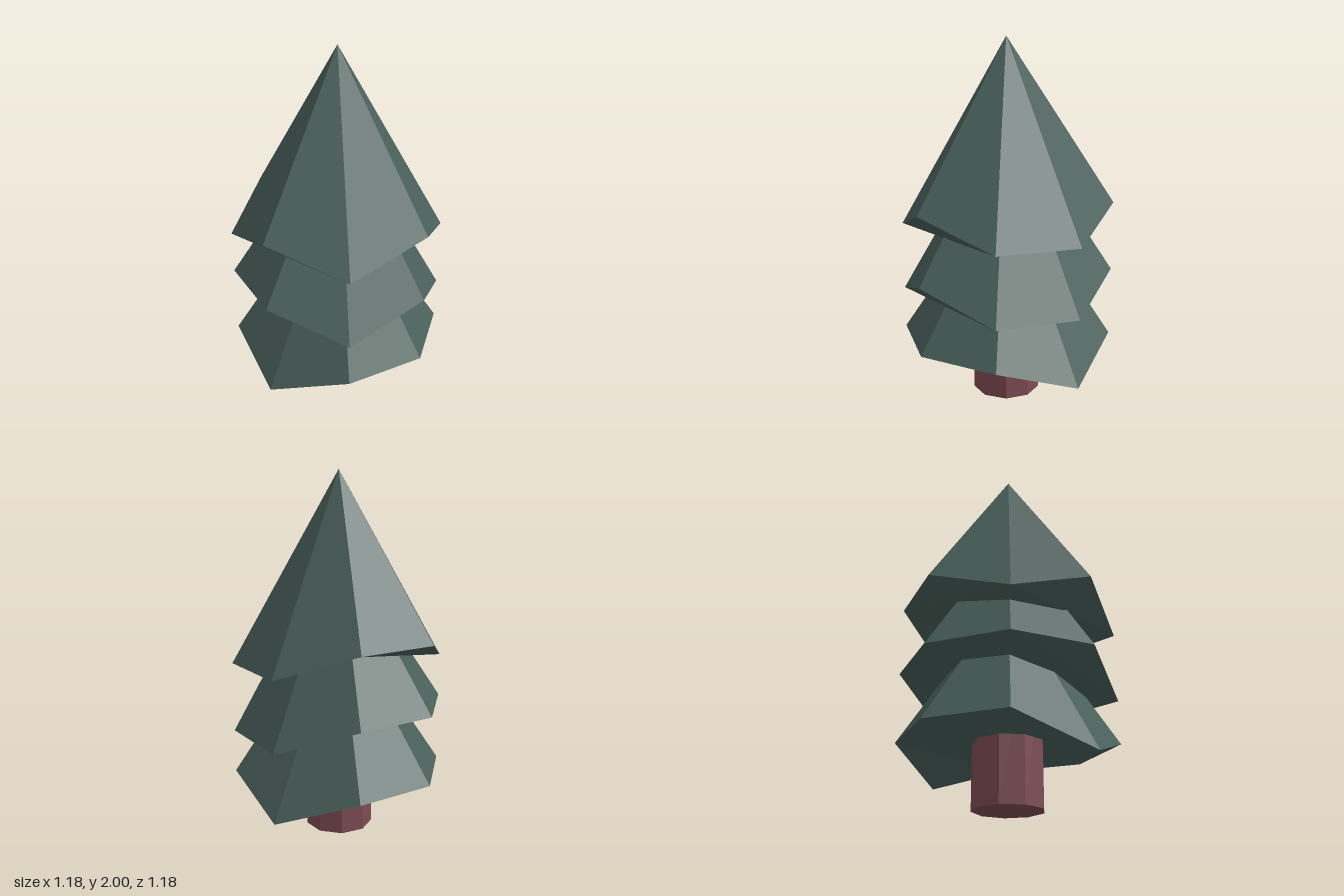
import * as THREE from 'three';

const RADIUS = 0.59;
const SIDES = 8;

// Eight-sided foliage cone whose rim corners zigzag between two heights.
// Corners run from the front (+z) towards +x; 'lowCorners' lists the drooping ones.
function foliageTier(apexY, lowY, highY, lowCorners) {
  const rim = [];
  for (let i = 0; i < SIDES; i++) {
    const a = (i / SIDES) * Math.PI * 2;
    const y = lowCorners.includes(i) ? lowY : highY;
    rim.push([Math.sin(a) * RADIUS, y, Math.cos(a) * RADIUS]);
  }
  const apex = [0, apexY, 0];
  const positions = [];
  const face = (a, b, c) => positions.push(...a, ...b, ...c);

  // Sloping sides
  for (let i = 0; i < SIDES; i++) face(apex, rim[i], rim[(i + 1) % SIDES]);
  // Underside: a folded flap at every second corner, then the middle
  for (let i = 0; i < SIDES; i += 2) {
    face(rim[i + 1], rim[i], rim[(i + SIDES - 1) % SIDES]);
  }
  face(rim[7], rim[5], rim[3]);
  face(rim[7], rim[3], rim[1]);

  const geometry = new THREE.BufferGeometry();
  geometry.setAttribute('position', new THREE.Float32BufferAttribute(positions, 3));
  geometry.computeVertexNormals();
  return geometry;
}

export function createModel() {
  const tree = new THREE.Group();
  tree.name = 'pineTree';

  const needles = new THREE.MeshStandardMaterial({ color: 0x4a605b, flatShading: true });
  needles.name = 'needleGreen';
  const bark = new THREE.MeshStandardMaterial({ color: 0x7d4c52, flatShading: true });
  bark.name = 'barkBrown';

  // Nine-sided trunk with a flat side to the front
  const trunkHeight = 0.7;
  const trunk = new THREE.Mesh(
    new THREE.CylinderGeometry(0.19, 0.19, trunkHeight, 9, 1, false, Math.PI / 9),
    bark
  );
  trunk.name = 'trunk';
  trunk.position.y = trunkHeight / 2;
  tree.add(trunk);

  // Foliage tiers
  const tiers = [
    ['topFoliage', 2.0, 0.97, 1.115, [1, 3, 4, 7]],
    ['middleFoliage', 1.615, 0.585, 0.732, [1, 3, 4]],
    ['bottomFoliage', 1.23, 0.2, 0.348, [0, 4]],
  ];
  for (const [name, apexY, lowY, highY, lowCorners] of tiers) {
    const tier = new THREE.Mesh(foliageTier(apexY, lowY, highY, lowCorners), needles);
    tier.name = name;
    tree.add(tier);
  }

  return tree;
}
